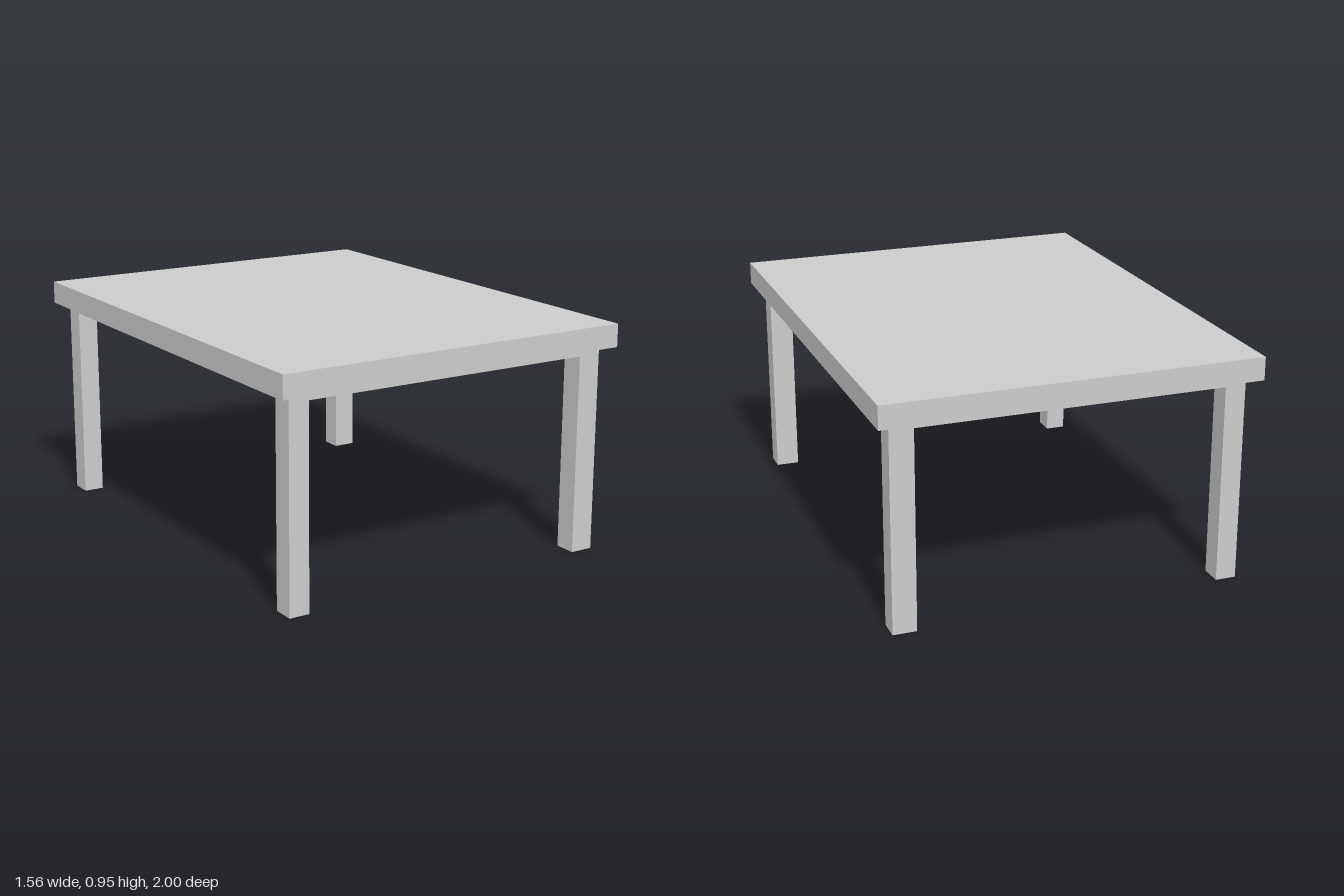
import * as THREE from 'three';

export function createModel() {
  const table = new THREE.Group();
  table.name = 'table';
  const material = new THREE.MeshStandardMaterial({ color: 0xcccccc, flatShading: true });

  // Box given by its ranges on each axis
  const addBox = (name, [x0, x1], [y0, y1], [z0, z1]) => {
    const mesh = new THREE.Mesh(new THREE.BoxGeometry(x1 - x0, y1 - y0, z1 - z0), material);
    mesh.position.set((x0 + x1) / 2, (y0 + y1) / 2, (z0 + z1) / 2);
    mesh.name = name;
    table.add(mesh);
  };

  const panelBottom = 0.828, topBottom = 0.857, topHeight = 0.953;

  // Top and the thin inset panel below it
  addBox('tableTop', [-0.78, 0.78], [topBottom, topHeight], [-1, 1]);
  addBox('underPanel', [-0.728, 0.726], [panelBottom, topBottom], [-0.947, 0.953]);

  // Four legs, flush with the panel corners
  const sidesX = { Left: [0.628, 0.726], Right: [-0.728, -0.642] };
  const sidesZ = { front: [0.86, 0.953], back: [-0.947, -0.855] };
  for (const [end, z] of Object.entries(sidesZ)) {
    for (const [side, x] of Object.entries(sidesX)) {
      addBox(`${end}${side}Leg`, x, [0, panelBottom], z);
    }
  }
  return table;
}
